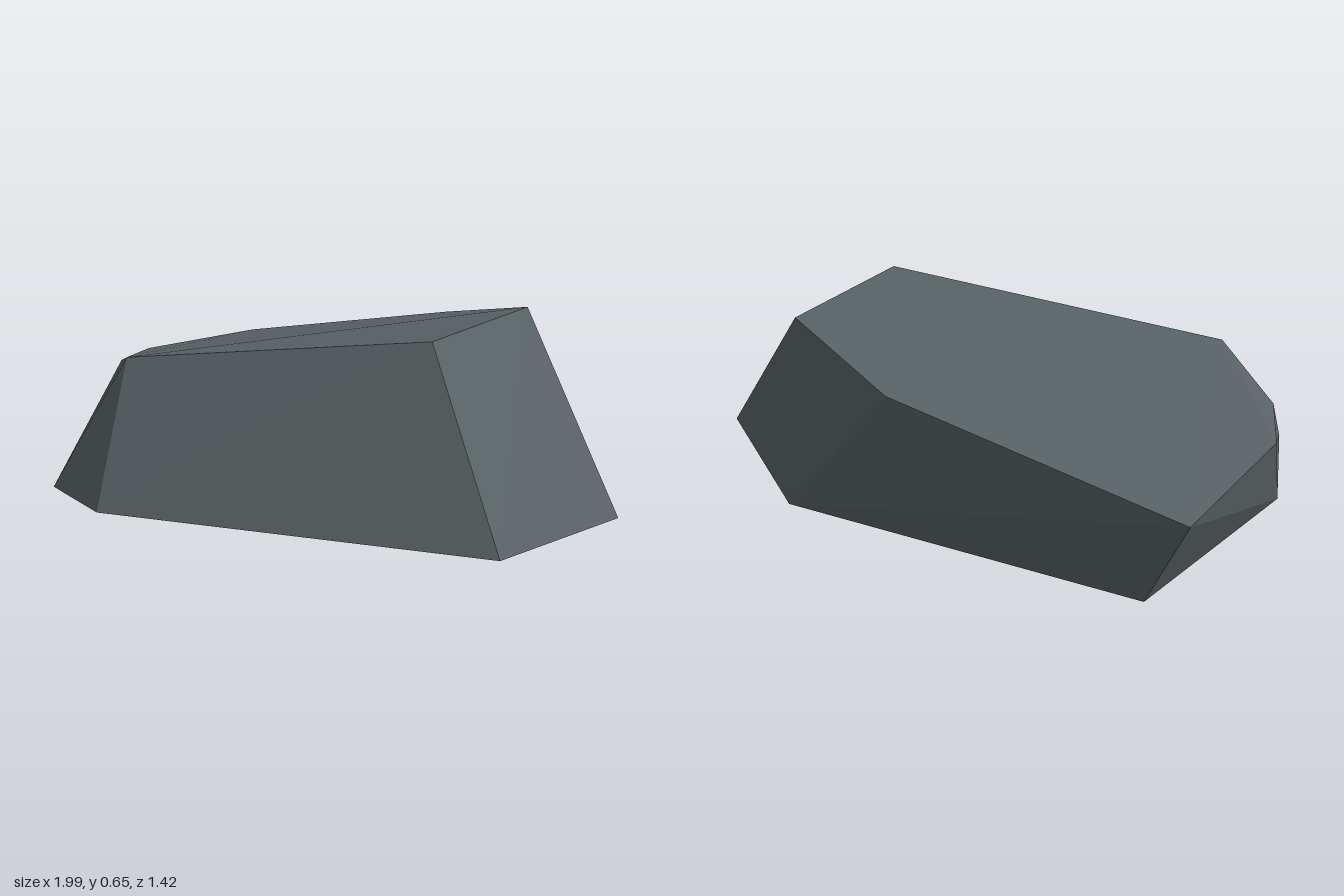
import * as THREE from 'three';
import { ConvexGeometry } from 'three/addons/geometries/ConvexGeometry.js';

// Corners of the rock's footprint on the ground: x, z
const footprint = [
  [0.99, 0.245], [0.925, -0.455], [0.43, -0.715], [-0.8, -0.45],
  [-0.925, 0.245], [-0.775, 0.58], [-0.325, 0.71],
];

// Corners of the sloping crown: x, y, z
const crown = [
  [0.46, 0.655, -0.565], [0.5, 0.575, -0.015], [-0.61, 0.466, 0.365],
  [-0.89, 0.418, 0.185], [-1, 0.44, -0.03], [-0.99, 0.48, -0.575],
  [-0.01, 0.605, -0.692],
];

export function createModel() {
  const stone = new THREE.MeshStandardMaterial({ color: 0x586164 });
  stone.name = 'darkStone';
  stone.flatShading = true;

  // Faceted boulder: the hull around footprint and crown
  const points = [
    ...footprint.map(([x, z]) => new THREE.Vector3(x, 0, z)),
    ...crown.map((p) => new THREE.Vector3(...p)),
  ];
  const rock = new THREE.Mesh(new ConvexGeometry(points), stone);
  rock.name = 'rock';

  const group = new THREE.Group();
  group.name = 'boulder';
  group.add(rock);
  return group;
}
